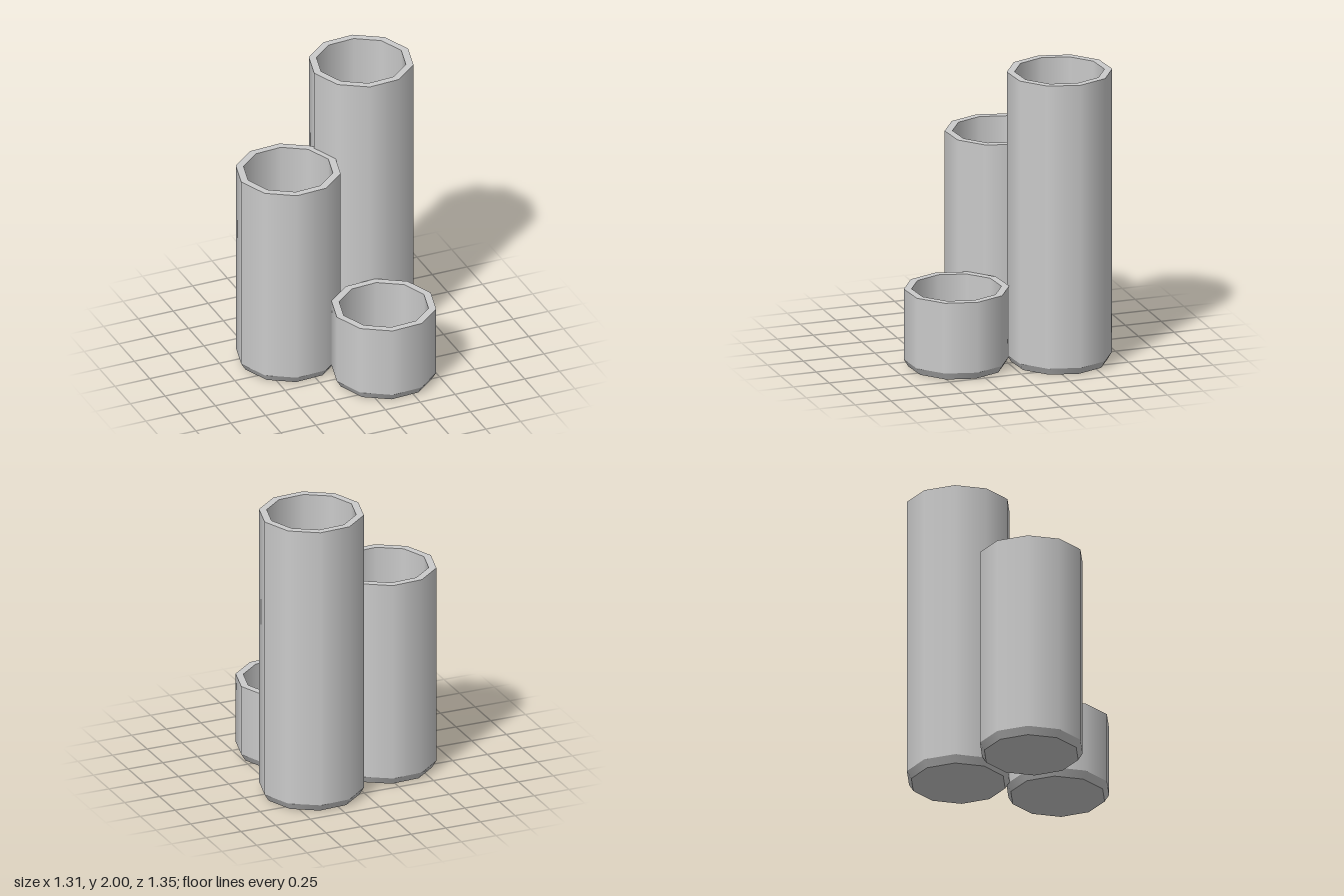
import * as THREE from 'three';
import { mergeGeometries } from 'three/addons/utils/BufferGeometryUtils.js';

const SIDES = 10;
const TURN = THREE.MathUtils.degToRad(21.6);

// One hollow ten-sided cup: each profile band is turned on its own,
// so the walls shade smoothly around while rims and chamfers stay crisp.
function cupGeometry(height) {
  const profile = [
    [0, 0], [0.318, 0],            // underside
    [0.348, 0.05], [0.348, height], // bottom chamfer, outer wall
    [0.297, height], [0.297, 0.1],  // rim, inner wall
    [0.267, 0.05], [0, 0.05],       // inner chamfer, floor
  ].map(([r, y]) => new THREE.Vector2(r, y));

  const bands = [];
  for (let i = 0; i < profile.length - 1; i++) {
    bands.push(new THREE.LatheGeometry([profile[i], profile[i + 1]], SIDES, TURN));
  }
  return mergeGeometries(bands);
}

export function createModel() {
  const model = new THREE.Group();
  model.name = 'threeCupHolder';
  const material = new THREE.MeshStandardMaterial({ color: 0xcccccc });

  // Three touching cups of different heights
  const cups = [
    { name: 'tallCup', height: 2, x: 0.307, z: -0.338 },
    { name: 'middleCup', height: 1.43, x: -0.31, z: -0.128 },
    { name: 'shortCup', height: 0.535, x: 0.173, z: 0.333 },
  ];
  for (const { name, height, x, z } of cups) {
    const cup = new THREE.Mesh(cupGeometry(height), material);
    cup.name = name;
    cup.position.set(x, 0, z);
    model.add(cup);
  }
  return model;
}
